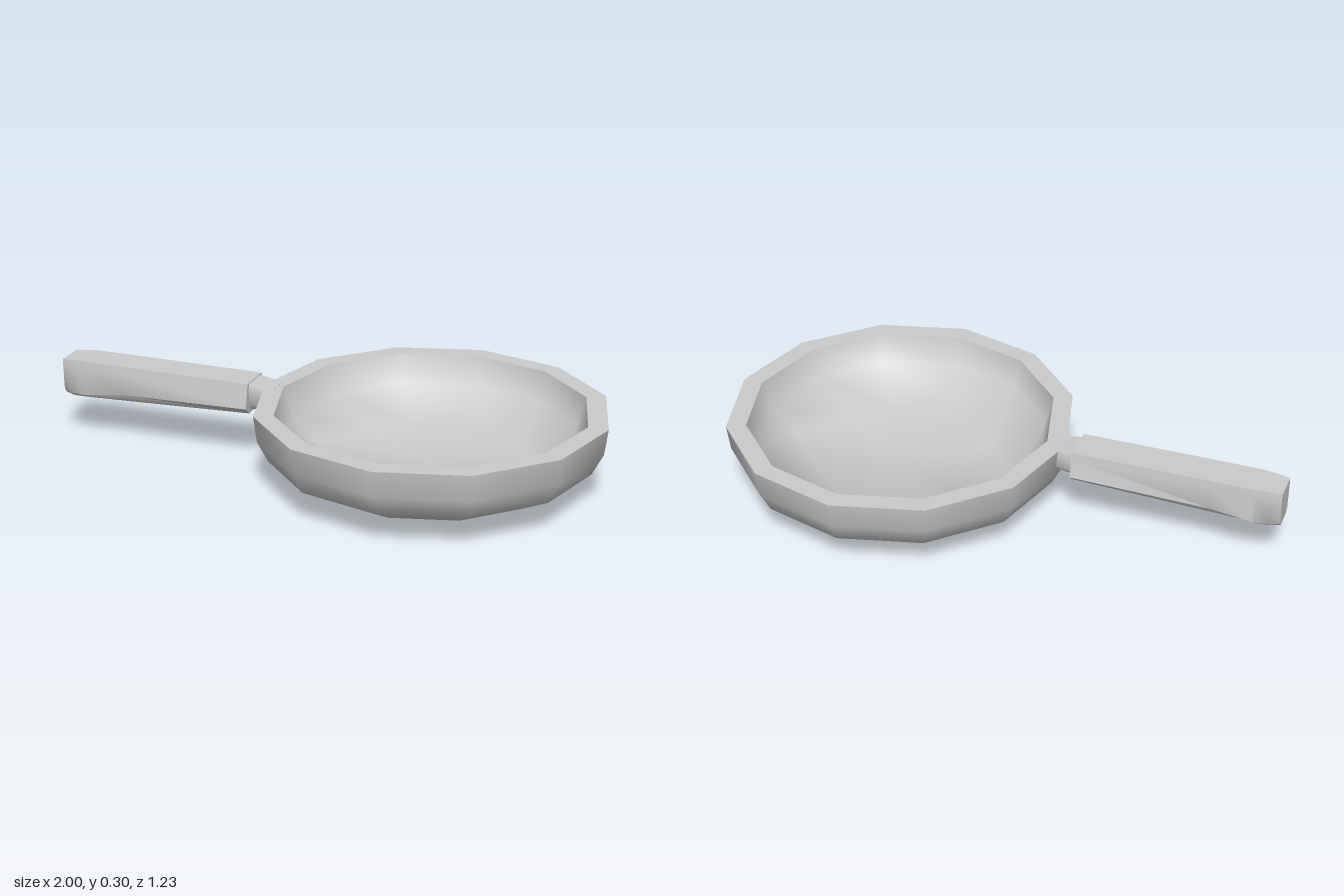
import * as THREE from 'three';
import { toCreasedNormals } from 'three/addons/utils/BufferGeometryUtils.js';

// Lofts eight-sided sections along x:
// [x, yTop, yUpper, yLower, yBottom, wTop, wUpper, wLower, wBottom]
function loft(sections) {
  const pos = [], idx = [], n = 8, last = (sections.length - 1) * n;
  for (const [x, yt, yu, yl, yb, wt, wu, wl, wb] of sections) {
    const half = [[yt, wt], [yu, wu], [yl, wl], [yb, wb]];
    for (const [y, z] of half) pos.push(x, y, z);
    for (const [y, z] of half.slice().reverse()) pos.push(x, y, -z);
  }
  for (let i = 0; i < last; i += n) {
    for (let j = 0; j < n; j++) {
      const k = (j + 1) % n;
      idx.push(i + j, i + k, i + n + k, i + j, i + n + k, i + n + j);
    }
  }
  // end caps
  for (let k = 1; k < n - 1; k++) idx.push(0, k + 1, k, last, last + k, last + k + 1);
  const g = new THREE.BufferGeometry();
  g.setAttribute('position', new THREE.Float32BufferAttribute(pos, 3));
  g.setIndex(idx);
  return toCreasedNormals(g, 0.8);
}

const turned = (profile) =>
  new THREE.LatheGeometry(profile.map(([r, y]) => new THREE.Vector2(r, y)), 12);

// Twelve-sided wall running down to a four-cornered floor
function hollow(rim, wall, foot, centreY) {
  const g = turned([rim, wall, foot, [0, centreY]]);
  const p = g.attributes.position;
  for (let i = 2; i < p.count; i += 4) {
    const x = p.getX(i), z = p.getZ(i);
    const s = foot[0] / (Math.abs(x) + Math.abs(z));
    p.setXYZ(i, x * s, foot[1], z * s);
  }
  return toCreasedNormals(g, 1.2);
}

export function createModel() {
  const model = new THREE.Group();
  model.name = 'fryingPan';
  const metal = new THREE.MeshStandardMaterial({ color: 0xcacaca });
  metal.name = 'grey metal';

  const add = (name, geometry, parent = model) => {
    const mesh = new THREE.Mesh(geometry, metal);
    mesh.name = name;
    parent.add(mesh);
  };

  // Bowl: smooth outside and inside, sharp flat rim between them
  const bowl = new THREE.Group();
  bowl.name = 'bowl';
  bowl.position.x = 0.385;
  model.add(bowl);
  add('bowlOutside', turned([[0, 0.002], [0.24, 0.02], [0.45, 0.055], [0.565, 0.115],
    [0.603, 0.19], [0.615, 0.282]]), bowl);
  add('rim', turned([[0.615, 0.282], [0.545, 0.282]]), bowl);
  add('bowlInside', hollow([0.545, 0.282], [0.515, 0.18], [0.43, 0.095], 0.078), bowl);

  // Grip, widening towards the bowl, with a bevel underneath that fades out
  add('handle', loft([
    [-1.0, 0.295, 0.275, 0.18, 0.163, 0.052, 0.054, 0.05, 0.036],
    [-0.965, 0.298, 0.275, 0.17, 0.155, 0.058, 0.061, 0.055, 0.04],
    [-0.91, 0.3, 0.275, 0.172, 0.157, 0.063, 0.066, 0.068, 0.042],
    [-0.76, 0.3, 0.275, 0.195, 0.163, 0.064, 0.067, 0.073, 0.045],
    [-0.27, 0.297, 0.275, 0.21, 0.185, 0.064, 0.067, 0.084, 0.055],
  ]));

  // Narrow neck joining the grip to the bowl wall
  add('neck', loft([
    [-0.28, 0.295, 0.28, 0.215, 0.195, 0.05, 0.056, 0.056, 0.038],
    [-0.215, 0.286, 0.275, 0.22, 0.2, 0.046, 0.05, 0.05, 0.034],
    [-0.18, 0.283, 0.275, 0.225, 0.21, 0.042, 0.045, 0.045, 0.03],
  ]));

  return model;
}
